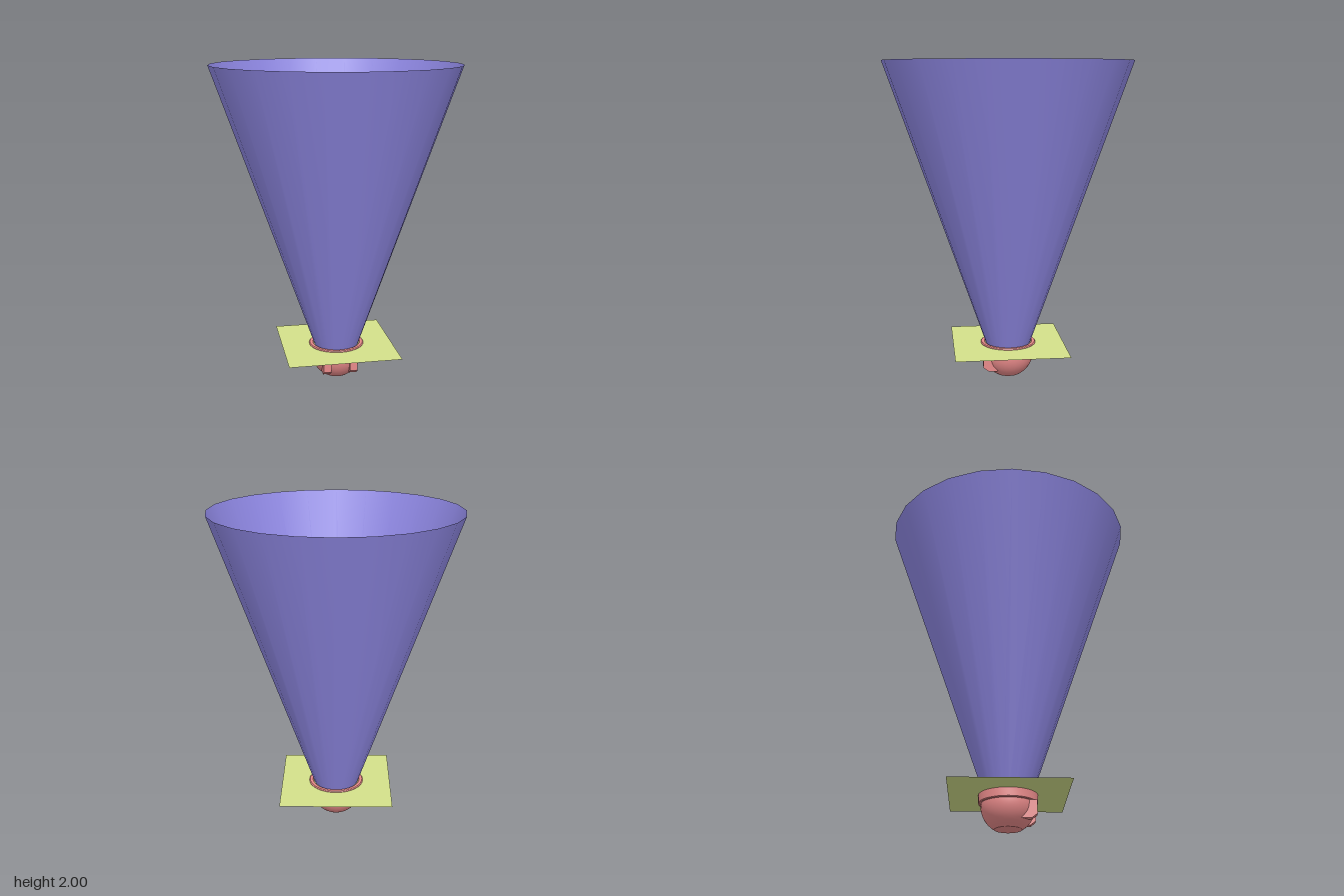
import * as THREE from 'three';
import { toCreasedNormals } from 'three/addons/utils/BufferGeometryUtils.js';

const pink = new THREE.MeshStandardMaterial({ color: 0xe88a8a, side: THREE.DoubleSide });
const violet = new THREE.MeshStandardMaterial({ color: 0x8f88e4, side: THREE.DoubleSide });
const yellow = new THREE.MeshStandardMaterial({ color: 0xd3e08a, side: THREE.DoubleSide });

function add(parent, name, geometry, material, x = 0, y = 0, z = 0) {
  const mesh = new THREE.Mesh(geometry, material);
  mesh.name = name;
  mesh.position.set(x, y, z);
  parent.add(mesh);
  return mesh;
}

function lathe(points, segments) {
  const profile = points.map(([r, y]) => new THREE.Vector2(r, y));
  return toCreasedNormals(new THREE.LatheGeometry(profile, segments), 0.6);
}

export function createModel() {
  const model = new THREE.Group();
  model.name = 'spotlight';

  // Lamp housing: a spherical bowl cut flat at the base
  const bowl = [[0, 0]];
  for (let i = 0; i <= 10; i++) {
    const y = 0.155 * i / 10;
    bowl.push([Math.sqrt(0.163 ** 2 - (y - 0.141) ** 2), y]);
  }
  add(model, 'housing', lathe(bowl, 32), pink);

  // Collar with softened edges, open in the middle
  add(model, 'collar', lathe([
    [0.15, 0.15], [0.172, 0.15], [0.177, 0.155], [0.177, 0.208],
    [0.172, 0.214], [0.154, 0.214], [0.15, 0.21], [0.15, 0.15],
  ], 32), pink);

  // Two mounting lugs on the front, chamfered underneath
  const lug = new THREE.Shape([
    [0.06, 0.152], [0.167, 0.152], [0.167, 0.07], [0.135, 0.045], [0.06, 0.045],
  ].map(([z, y]) => new THREE.Vector2(z, y)));
  const lugGeometry = new THREE.ExtrudeGeometry(lug, { depth: 0.05, bevelEnabled: false });
  lugGeometry.translate(0, 0, -0.025).rotateY(-Math.PI / 2);
  for (const side of [-1, 1]) add(model, side > 0 ? 'leftLug' : 'rightLug', lugGeometry, pink, side * 0.085);

  // Square glow sheet across the lamp opening
  add(model, 'glowSheet', new THREE.PlaneGeometry(0.71, 0.71).rotateX(-Math.PI / 2), yellow, 0, 0.205);

  // Shallow bulb dome showing through the sheet
  const dome = new THREE.SphereGeometry(0.07, 24, 8, 0, Math.PI * 2, 0, Math.PI / 2);
  add(model, 'bulb', dome.scale(1, 0.2, 1), pink, 0, 0.203);

  // Protective grille of crossed bars
  const grille = new THREE.Group();
  grille.name = 'grille';
  for (let i = -2; i <= 2; i++) {
    const length = [0.245, 0.21, 0.135][Math.abs(i)];
    const bar = new THREE.CylinderGeometry(0.006, 0.006, length, 8);
    add(grille, 'grilleBar', bar, pink, i * 0.05, 0.216, 0).rotation.x = Math.PI / 2;
    add(grille, 'grilleBar', bar, pink, 0, 0.216, i * 0.05).rotation.z = Math.PI / 2;
  }
  model.add(grille);

  // Open cone of light
  add(model, 'lightBeam', new THREE.CylinderGeometry(0.77, 0.143, 1.795, 24, 1, true), violet, 0, 1.1025);

  return model;
}
